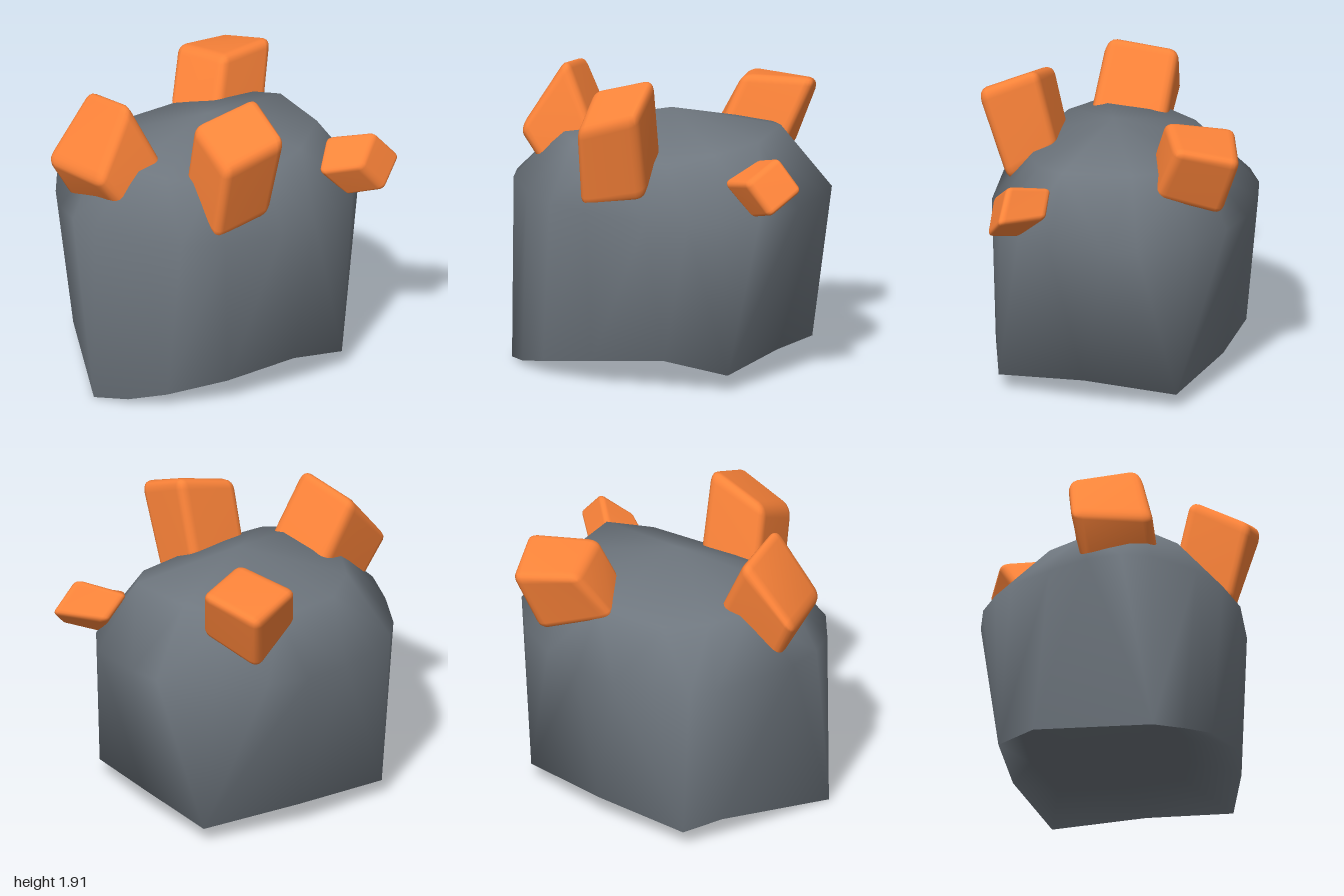
import * as THREE from 'three';
import { mergeVertices } from 'three/addons/utils/BufferGeometryUtils.js';
import { RoundedBoxGeometry } from 'three/addons/geometries/RoundedBoxGeometry.js';

const STEPS = 360;

// Rock cross-sections as convex rings of [x, y, z], anticlockwise from the front.
const EDGE = [[0, 0, 1], [0.22, 0.03, 0.92], [0.42, 0.08, 0.78], [0.64, 0.14, 0.46], [0.77, 0.18, 0], [0.8, 0.1, -0.4],
  [0.3, 0.15, -0.68], [-0.26, 0.1, -0.86], [-0.62, 0.14, -0.32], [-0.84, 0.1, 0.3], [-0.66, 0.13, 0.5]];
const SHOULDER = [[0, 1.16, 0.99], [0.3, 1.14, 0.89], [0.5, 1.12, 0.73], [0.66, 1.1, 0.5], [0.78, 1.07, 0.12],
  [0.81, 1.06, -0.15], [0.79, 1.07, -0.36], [0.7, 1.1, -0.6], [0.54, 1.12, -0.83], [0.2, 1.13, -0.97], [0, 1.13, -1],
  [-0.35, 1.12, -0.87], [-0.6, 1.11, -0.65], [-0.76, 1.1, -0.42], [-0.86, 1.1, -0.15], [-0.9, 1.1, 0.12],
  [-0.87, 1.1, 0.35], [-0.8, 1.11, 0.5], [-0.6, 1.13, 0.72], [-0.4, 1.15, 0.89], [-0.2, 1.16, 0.98]];
const CROWN = [[0, 1.48, 0.7], [0.24, 1.45, 0.6], [0.43, 1.4, 0.4], [0.55, 1.39, 0], [0.54, 1.45, -0.3],
  [0.42, 1.51, -0.57], [0, 1.52, -0.68], [-0.3, 1.48, -0.58], [-0.5, 1.43, -0.35], [-0.61, 1.41, 0.1],
  [-0.53, 1.43, 0.38], [-0.35, 1.45, 0.58]];
// the recessed underside keeps close to the front right edge
const RECESS = EDGE.map(([x, , z]) => [-0.45 + (x + 0.45) * 0.7, 0.15, 0.65 + (z - 0.65) * 0.7]);
const RINGS = [RECESS, EDGE, SHOULDER, CROWN];

// Index of the ring corner lying farthest out in the given direction.
function farthest(ring, angle) {
  const reach = ring.map((p) => p[0] * Math.sin(angle) + p[2] * Math.cos(angle));
  return reach.indexOf(Math.max(...reach));
}

// Skin the rings by joining corners that face the same way.
function makeRock(material) {
  const pos = RINGS.flat(), index = [];
  const bottom = pos.push([0, 0.15, 0]) - 1;
  const top = pos.push([0.03, 1.63, 0]) - 1;
  const addFace = (a, b, c) => {
    if (a !== b && b !== c && c !== a) index.push(a, b, c);
  };
  const column = (step) => {
    let start = 0;
    const ids = RINGS.map((ring) => {
      const id = start + farthest(ring, ((step + 0.5) / STEPS) * Math.PI * 2);
      start += ring.length;
      return id;
    });
    return [bottom, ...ids, top];
  };
  for (let s = 0; s < STEPS; s++) {
    const a = column(s), b = column(s + 1);
    for (let r = 0; r < a.length - 1; r++) {
      addFace(a[r], b[r], b[r + 1]);
      addFace(a[r], b[r + 1], a[r + 1]);
    }
  }
  const geo = new THREE.BufferGeometry();
  geo.setAttribute('position', new THREE.Float32BufferAttribute(pos.flat(), 3));
  geo.setIndex(index);
  geo.computeVertexNormals();
  const mesh = new THREE.Mesh(geo, material);
  mesh.name = 'rockBody';
  return mesh;
}

// Rounded block stretched between a cap and a root, four corners each,
// both listed anticlockwise as seen from outside the cap.
function makeCrystal(name, cap, root, material) {
  let geo = new RoundedBoxGeometry(1, 1, 1, 2, 0.14);
  geo.deleteAttribute('normal');
  geo.deleteAttribute('uv');
  geo = mergeVertices(geo, 1e-4);
  const p = geo.attributes.position;
  for (let i = 0; i < p.count; i++) {
    const u = p.getX(i) + 0.5, v = p.getY(i) + 0.5, w = p.getZ(i) + 0.5;
    const weights = [(1 - u) * (1 - v), u * (1 - v), u * v, (1 - u) * v];
    const out = [0, 1, 2].map((k) => weights.reduce(
      (sum, f, c) => sum + f * (root[c][k] + (cap[c][k] - root[c][k]) * w), 0));
    p.setXYZ(i, ...out);
  }
  geo.computeVertexNormals();
  const mesh = new THREE.Mesh(geo, material);
  mesh.name = name;
  return mesh;
}

export function createModel() {
  const group = new THREE.Group();
  group.name = 'crystalRock';
  const stone = new THREE.MeshStandardMaterial({ color: 0x6e767e });
  const orange = new THREE.MeshStandardMaterial({ color: 0xff853a });
  group.add(makeRock(stone));

  // crystals growing out of the crown
  group.add(makeCrystal('frontCrystal',
    [[-0.51, 1.45, 0.92], [0.01, 1.45, 0.96], [-0.02, 1.93, 0.67], [-0.46, 1.85, 0.57]],
    [[-0.41, 1.18, 0.8], [0.09, 1.21, 0.78], [0.13, 1.42, 0.46], [-0.34, 1.4, 0.36]], orange));
  group.add(makeCrystal('leftCrystal',
    [[0.34, 1.82, 0.47], [0.72, 1.64, 0.56], [0.88, 1.79, 0.17], [0.51, 1.95, 0.07]],
    [[0.24, 1.34, 0.45], [0.6, 1.09, 0.54], [0.68, 1.17, 0.12], [0.38, 1.4, 0.04]], orange));
  group.add(makeCrystal('smallCrystal',
    [[0.91, 1.15, -0.68], [0.86, 1.31, -0.88], [0.78, 1.51, -0.72], [0.85, 1.35, -0.52]],
    [[0.69, 1.08, -0.55], [0.53, 1.28, -0.73], [0.48, 1.42, -0.58], [0.63, 1.3, -0.35]], orange));
  group.add(makeCrystal('backCrystal',
    [[-0.69, 1.72, -0.45], [-0.24, 1.78, -0.42], [-0.26, 1.76, -0.89], [-0.67, 1.65, -0.88]],
    [[-0.55, 1.38, -0.23], [-0.17, 1.42, -0.27], [-0.14, 1.36, -0.7], [-0.57, 1.22, -0.72]], orange));
  return group;
}
